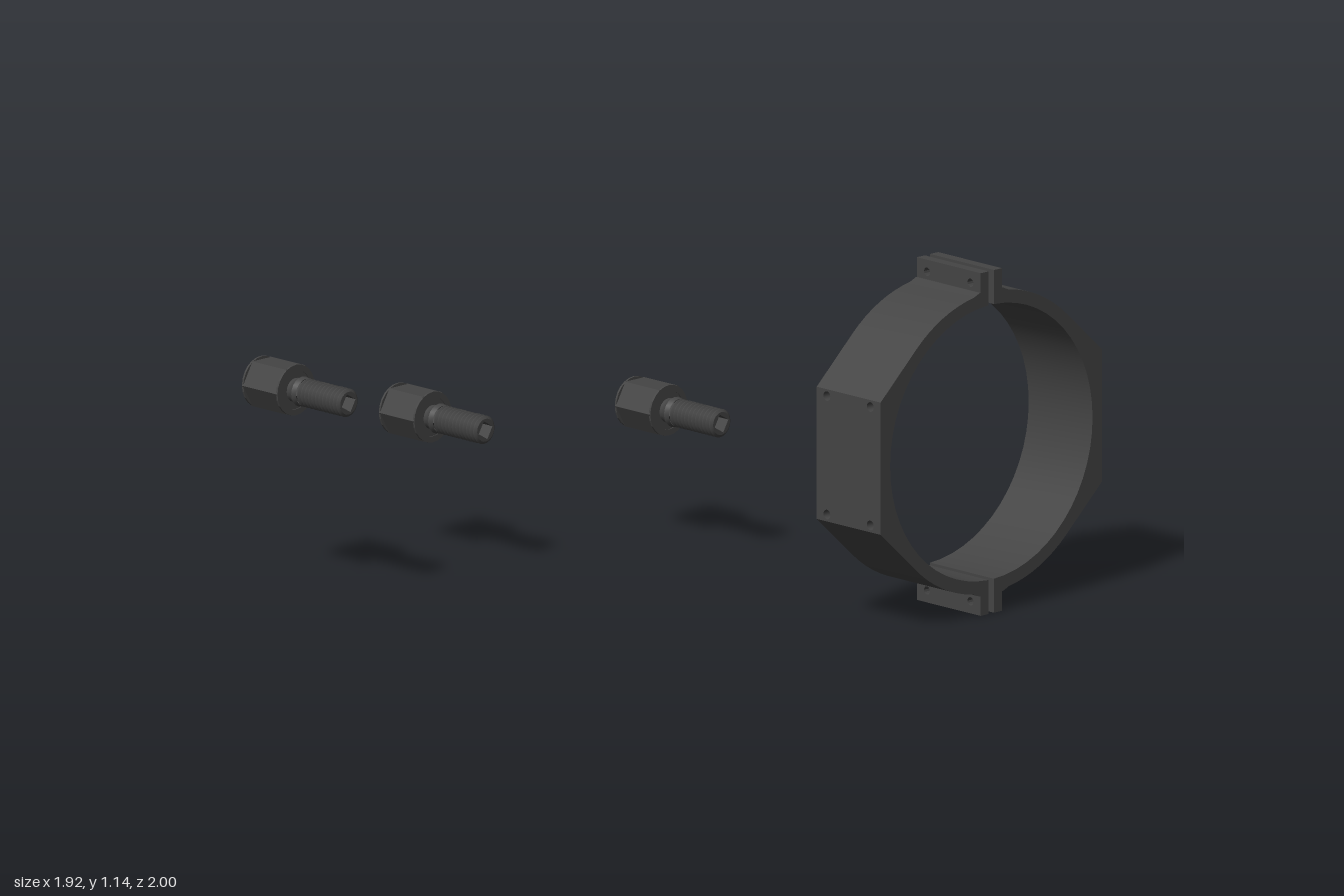
import * as THREE from 'three';
import { toCreasedNormals, mergeGeometries } from 'three/addons/utils/BufferGeometryUtils.js';

const mat = new THREE.MeshStandardMaterial({ color: 0x444444, side: THREE.DoubleSide });
const HALF = 0.147; // half width of the clamp

function add(parent, name, geo, x = 0, y = 0, z = 0) {
  const mesh = new THREE.Mesh(geo, mat);
  mesh.name = name;
  mesh.position.set(x, y, z);
  parent.add(mesh);
  return mesh;
}

const hole = (x, y, r) => new THREE.Path().absarc(x, y, r, 0, Math.PI * 2, true);

function rectWithHoles(w, y0, y1, holes, r) {
  const s = new THREE.Shape([[-w, y0], [w, y0], [w, y1], [-w, y1]].map(p => new THREE.Vector2(...p)));
  holes.forEach(([x, y]) => s.holes.push(hole(x, y, r)));
  return s;
}

function polygon(n, r, turn) {
  return Array.from({ length: n }, (_, i) => {
    const a = turn + i * Math.PI * 2 / n;
    return new THREE.Vector2(Math.cos(a) * r, Math.sin(a) * r);
  });
}

// Points of an arc, angles in degrees
function arc(r, from, to, n) {
  return Array.from({ length: n + 1 }, (_, i) => {
    const a = THREE.MathUtils.degToRad(from + (to - from) * i / n);
    return [r * Math.cos(a), r * Math.sin(a)];
  });
}

// One half of the clamp, bulging towards +z
function halfClamp() {
  const g = new THREE.Group();
  const profile = [
    [0.012, -0.505], [0.052, -0.505], ...arc(0.5, -81, -47.5, 8), [0.5, -0.22],
    [0.5, 0.22], ...arc(0.5, 47.5, 81, 8), [0.052, 0.505], [0.012, 0.505],
    ...arc(0.457, 88.5, -88.5, 28),
  ];

  // Walls between the two sides, leaving the flat pad open
  const pos = [];
  profile.forEach(([az, ay], i) => {
    const [bz, by] = profile[(i + 1) % profile.length];
    if (az === 0.5 && bz === 0.5) return;
    pos.push(-HALF, ay, az, HALF, ay, az, HALF, by, bz);
    pos.push(-HALF, ay, az, HALF, by, bz, -HALF, by, bz);
  });
  const walls = new THREE.BufferGeometry();
  walls.setAttribute('position', new THREE.Float32BufferAttribute(pos, 3));
  add(g, 'clampBand', toCreasedNormals(walls, 0.4));

  // Side faces
  const side = new THREE.Shape(profile.map(p => new THREE.Vector2(...p)));
  for (const x of [-HALF, HALF]) {
    add(g, 'clampSide', new THREE.ShapeGeometry(side).rotateY(-Math.PI / 2), x);
  }

  // Flat pad with four blind screw holes
  const spots = [[-0.1, -0.197], [0.1, -0.197], [-0.1, 0.197], [0.1, 0.197]];
  add(g, 'flatPad', new THREE.ShapeGeometry(rectWithHoles(HALF, -0.22, 0.22, spots, 0.016), 8), 0, 0, 0.5);
  for (const [x, y] of spots) {
    add(g, 'padHole', new THREE.CylinderGeometry(0.016, 0.016, 0.06, 16, 1, true).rotateX(Math.PI / 2), x, y, 0.47);
    add(g, 'padHoleFloor', new THREE.CircleGeometry(0.016, 16), x, y, 0.44);
  }

  // Bolting tabs above and below
  const tabShape = rectWithHoles(HALF, 0.495, 0.57, [[-0.1, 0.53], [0.1, 0.53]], 0.014);
  for (const turn of [0, Math.PI]) {
    const geo = new THREE.ExtrudeGeometry(tabShape, { depth: 0.036, bevelEnabled: false, curveSegments: 6 });
    geo.translate(0, 0, -0.018).rotateZ(turn);
    add(g, 'clampTab', geo, 0, 0, 0.03);
  }
  return g;
}

// Hollow bolt along +x, starting at x = 0
function hollowBolt() {
  const g = new THREE.Group();
  const alongX = (shape, depth) => new THREE.ExtrudeGeometry(shape, { depth, bevelEnabled: false, curveSegments: 12 })
    .rotateY(Math.PI / 2);
  const square = () => new THREE.Path(polygon(4, 0.032, 0.25).reverse());

  // Hexagonal head with an open socket
  const hex = new THREE.Shape(polygon(6, 0.086, 0));
  hex.holes.push(hole(0, 0, 0.064));
  add(g, 'hexHead', alongX(hex, 0.16));

  // Thin rims at both ends of the head
  const rim = new THREE.Shape().absarc(0, 0, 0.084, 0, Math.PI * 2);
  rim.holes.push(hole(0, 0, 0.064));
  for (const x of [-0.002, 0.155]) add(g, 'headRim', alongX(rim, 0.007), x);

  // Socket floor with the square opening
  const floor = new THREE.Shape().absarc(0, 0, 0.066, 0, Math.PI * 2);
  floor.holes.push(square());
  add(g, 'socketFloor', alongX(floor, 0.012), 0.147);

  // Neck and threaded shank
  const neck = [[0.04, 0.155], [0.04, 0.17], [0.05, 0.19], [0.045, 0.207]];
  const thread = [];
  const turns = 12, pitch = 0.0164;
  for (let i = 0; i < turns; i++) {
    const x = 0.207 + i * pitch;
    thread.push([0.038, x], [0.047, x + pitch * 0.4], [0.047, x + pitch * 0.6]);
  }
  thread.push([0.038, 0.404]);
  const lathe = pts => toCreasedNormals(
    new THREE.LatheGeometry(pts.map(p => new THREE.Vector2(...p)), 20).rotateZ(-Math.PI / 2), 0.5);
  add(g, 'boltNeck', lathe(neck));
  add(g, 'boltThread', lathe(thread));

  // Tip face and square bore
  const tip = new THREE.Shape().absarc(0, 0, 0.038, 0, Math.PI * 2);
  tip.holes.push(square());
  const tipFace = new THREE.ShapeGeometry(tip, 12).rotateY(Math.PI / 2).translate(0.404, 0, 0);
  const bore = new THREE.ExtrudeGeometry(new THREE.Shape(polygon(4, 0.032, 0.25)), { depth: 0.25, bevelEnabled: false });
  // Keep only the walls of the bore
  const caps = bore.groups[0].count;
  const boreWalls = new THREE.BufferGeometry();
  for (const key of ['position', 'normal', 'uv']) {
    const a = bore.attributes[key];
    boreWalls.setAttribute(key, new THREE.BufferAttribute(a.array.slice(caps * a.itemSize), a.itemSize));
  }
  boreWalls.rotateY(Math.PI / 2).translate(0.154, 0, 0);
  add(g, 'boltBore', mergeGeometries([tipFace.toNonIndexed(), boreWalls]));
  return g;
}

export function createModel() {
  const model = new THREE.Group();

  // Two-part clamp ring
  const clamp = new THREE.Group();
  clamp.name = 'clampRing';
  clamp.position.set(0.815, 0.57, -0.5);
  const front = halfClamp(), back = halfClamp();
  front.name = 'frontHalf';
  back.name = 'backHalf';
  back.rotation.y = Math.PI;
  clamp.add(front, back);
  model.add(clamp);

  // Loose bolts beside the ring
  [[-0.96, 0.675, 0.913], [-0.96, 0.475, 0.295], [-0.56, 0.45, -0.378]].forEach((p, i) => {
    const bolt = hollowBolt();
    bolt.name = `bolt${i + 1}`;
    bolt.position.set(...p);
    model.add(bolt);
  });
  return model;
}
